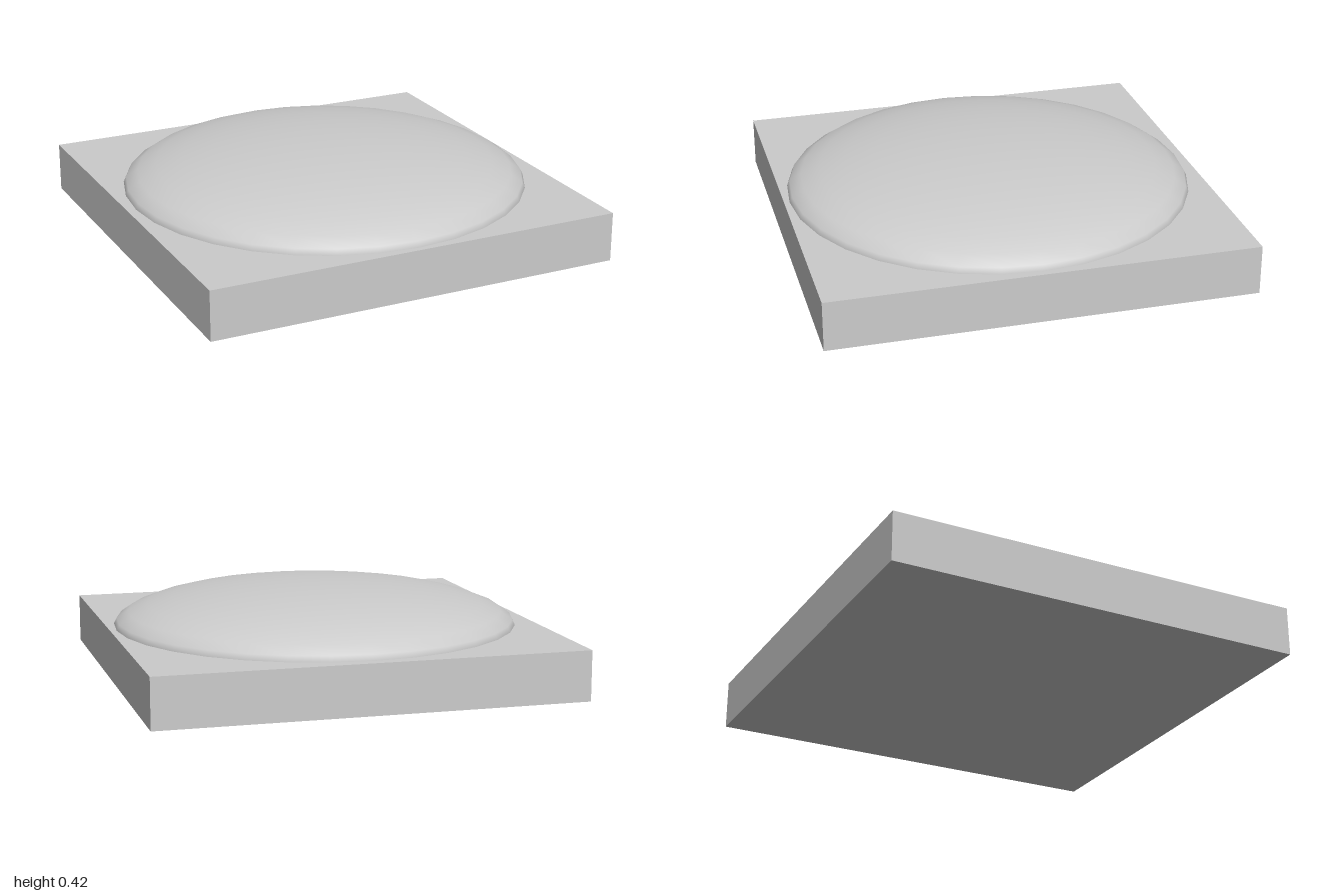
import * as THREE from 'three';

export function createModel() {
  const group = new THREE.Group();
  const material = new THREE.MeshStandardMaterial({ color: 0xcccccc });

  // Square slab
  const slabHeight = 0.235;
  const base = new THREE.Mesh(new THREE.BoxGeometry(2, slabHeight, 2), material);
  base.name = 'base';
  base.position.y = slabHeight / 2;
  group.add(base);

  // Flattened dome: upper half of a squashed sphere, its rim sunk just into the slab
  const domeGeometry = new THREE.SphereGeometry(1, 32, 8, 0, Math.PI * 2, 0, Math.PI / 2);
  domeGeometry.scale(0.97, 0.203, 0.97);
  const dome = new THREE.Mesh(domeGeometry, material);
  dome.name = 'dome';
  dome.position.set(0.006, 0.222, 0.01);
  group.add(dome);

  return group;
}
